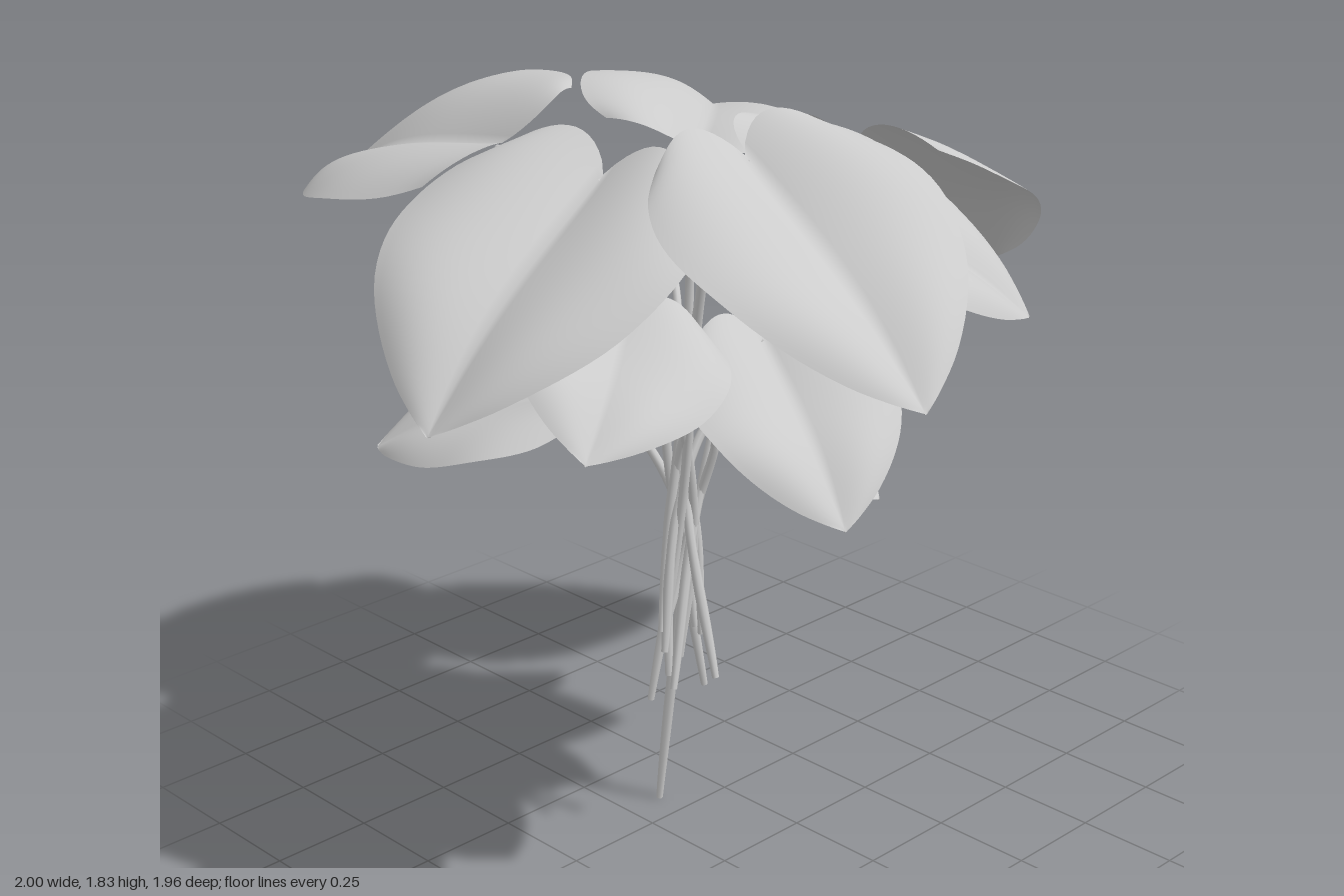
import * as THREE from 'three';

const V = (a) => new THREE.Vector3(...a);
const UP = new THREE.Vector3(0, 1, 0);
const material = new THREE.MeshStandardMaterial({ color: 0xcccccc, side: THREE.DoubleSide });

// Half-width of the heart-shaped blade along its midrib: [position, width]
const OUTLINE = new THREE.SplineCurve([
  [0, 0.7], [0.1, 0.88], [0.22, 0.98], [0.35, 1], [0.48, 0.95], [0.62, 0.83],
  [0.75, 0.64], [0.87, 0.4], [0.95, 0.18], [1, 0.01],
].map(([t, w]) => new THREE.Vector2(t, w)));

// base = where the stem joins, tip = point of the leaf, roll lifts the right-hand edge,
// foot = lower end of the stem
const LEAVES = [
  { name: 'backLeftLeaf', base: [-0.43, 1.7, -0.27], tip: [-0.34, 1.49, -0.98], width: 0.65, roll: 0.33, foot: [-0.13, 0.5, 0.05] },
  { name: 'frontLeaf', base: [-0.30, 1.765, 0.36], tip: [-0.43, 1.39, 0.98], width: 0.62, roll: -0.13, foot: [-0.25, 0.35, 0] },
  { name: 'leftLeaf', base: [-0.4, 1.68, 0.03], tip: [-1, 1.27, 0.15], width: 0.71, roll: 0.08, foot: [-0.09, 0.34, 0.02] },
  { name: 'rightLeaf', base: [0.43, 1.59, 0.02], tip: [1, 1.18, -0.01], width: 0.65, roll: 0.04, foot: [-0.27, 0.42, 0.1] },
  { name: 'frontRightLeaf', base: [-0.05, 1.66, 0.15], tip: [0.44, 1.28, 0.55], width: 0.55, roll: -0.34, foot: [-0.26, 0.55, 0.05] },
  { name: 'backRightUpperLeaf', base: [-0.08, 1.67, -0.01], tip: [0.47, 1.59, -0.51], width: 0.61, roll: -0.27, foot: [-0.15, 0.01, -0.08] },
  { name: 'backRightLowerLeaf', base: [0.02, 1.33, -0.2], tip: [0.47, 1.06, -0.83], width: 0.72, roll: -0.1, foot: [-0.2, 0.45, 0.17] },
  { name: 'lowFrontLeaf', base: [-0.19, 1.33, 0.3], tip: [-0.31, 1.01, 0.67], width: 0.49, roll: -0.05, foot: [-0.2, 0.4, 0.01] },
  { name: 'smallFrontLeaf', base: [-0.09, 1.07, 0.17], tip: [0.07, 0.9, 0.43], width: 0.34, roll: 0, foot: [-0.22, 0.56, 0.03] },
  { name: 'lowRightLeaf', base: [0.05, 1.12, 0.03], tip: [0.38, 0.87, -0.1], width: 0.43, roll: 0.22, foot: [-0.26, 0.5, 0.06] },
  { name: 'lowBackLeaf', base: [-0.26, 1.08, -0.22], tip: [-0.52, 0.89, -0.67], width: 0.53, roll: 0.27, foot: [-0.14, 0.52, 0.04] },
  { name: 'lowLeftLeaf', base: [-0.44, 1.41, 0.14], tip: [-0.78, 1.21, 0.38], width: 0.5, roll: 0.38, foot: [-0.18, 0.45, 0.03] },
];

// Blade: a grid bent to a heart outline, creased along the midrib and arched to the tip
function leafBlade({ base, tip, width, roll }) {
  const origin = V(base);
  const along = V(tip).sub(origin);
  const length = along.length();
  along.normalize();
  const across = along.clone().cross(UP).normalize().applyAxisAngle(along, -roll);
  const normal = across.clone().cross(along).normalize();

  const geometry = new THREE.PlaneGeometry(2, 1, 28, 30);
  const pos = geometry.attributes.position;
  const p = new THREE.Vector3();
  for (let i = 0; i < pos.count; i++) {
    const u = pos.getX(i);
    const { x: t, y: w } = OUTLINE.getPoint(pos.getY(i) + 0.5);
    const a = Math.abs(u);
    const half = w * width / 2;
    const lobe = 0.11 * Math.pow(1 - t, 3) * Math.sin(Math.PI * Math.pow(a, 0.8));
    const wing = half * (0.17 * Math.sin(a * 2.4) - 0.04 * a * a);
    const ripple = 0.005 * a * Math.sin(t * 11 + u * 2);
    const arch = length * 0.05 * Math.sin(Math.PI * Math.pow(t, 1.25));
    p.copy(origin)
      .addScaledVector(along, length * (t - lobe))
      .addScaledVector(across, u * half)
      .addScaledVector(normal, wing + ripple + arch);
    pos.setXYZ(i, p.x, p.y, p.z);
  }
  geometry.computeVertexNormals();
  return geometry;
}

// Stem: a tapering tube from the leaf down through the gathered bunch
function leafStem({ base, tip, foot }, index) {
  const top = V(base);
  const out = V(tip).sub(top).setY(0).normalize();
  const angle = index * 2.4;
  const gather = new THREE.Vector3(-0.17 + 0.035 * Math.cos(angle), 0.82, 0.03 + 0.03 * Math.sin(angle));
  const mid = gather.clone().lerp(top, 0.35);
  mid.y = gather.y + 0.62 * (top.y - gather.y);
  const neck = top.clone().addScaledVector(out, -0.07);
  neck.y -= 0.02;
  const path = new THREE.CatmullRomCurve3([
    top.clone().addScaledVector(out, 0.02).setY(top.y - 0.015), neck, mid, gather, V(foot),
  ]);
  const rings = 40, sides = 8;
  const geometry = new THREE.TubeGeometry(path, rings, 0.011, sides);
  const pos = geometry.attributes.position;
  const p = new THREE.Vector3();
  for (let i = 0; i < pos.count; i++) {
    const t = Math.floor(i / (sides + 1)) / rings;
    const centre = path.getPointAt(t);
    const swell = t > 0.7 ? 0.25 * Math.sin((t - 0.7) / 0.3 * Math.PI) : 0;
    const scale = 0.75 + 0.3 * Math.sin(Math.PI * t) + swell;
    p.fromBufferAttribute(pos, i).sub(centre).multiplyScalar(scale).add(centre);
    pos.setXYZ(i, p.x, p.y, p.z);
  }
  return geometry;
}

export function createModel() {
  const plant = new THREE.Group();
  plant.name = 'leafyPlant';
  LEAVES.forEach((leaf, i) => {
    const group = new THREE.Group();
    group.name = leaf.name;
    const blade = new THREE.Mesh(leafBlade(leaf), material);
    blade.name = 'blade';
    const stem = new THREE.Mesh(leafStem(leaf, i), material);
    stem.name = 'stem';
    group.add(blade, stem);
    plant.add(group);
  });
  return plant;
}
